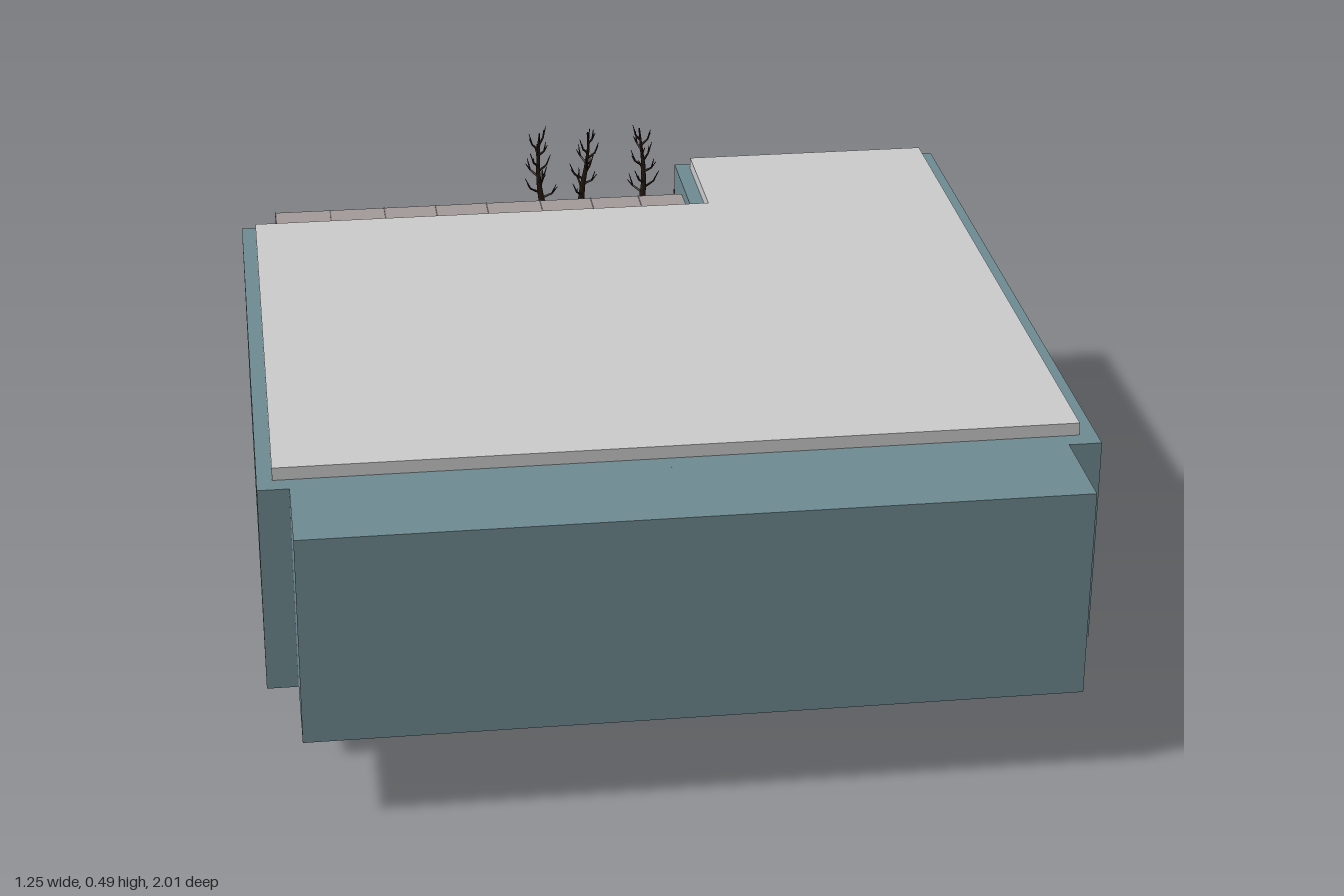
import * as THREE from 'three';

const mat = (color, extra = {}) => new THREE.MeshStandardMaterial({ color, ...extra });
const M = {
  wall: mat(0x6f8a92), roof: mat(0xcccccc), floor: mat(0x3a342a), wood: mat(0x5a3d24),
  canopy: mat(0xa39a9a, { side: THREE.DoubleSide }), rib: mat(0x6a6262), frame: mat(0x8ea4aa),
  road: mat(0x22242a), paint: mat(0xb8b8b8), bark: mat(0x24170f), metal: mat(0x2a2c2e),
  unit: mat(0x2a4a56), books: mat(0x8a6a48), white: mat(0xd8d4cc),
};

function add(parent, name, geo, material, x = 0, y = 0, z = 0) {
  const m = new THREE.Mesh(geo, material);
  m.name = name;
  m.position.set(x, y, z);
  parent.add(m);
  return m;
}

// Box given by its min and max corners
function box(parent, name, material, [x0, y0, z0], [x1, y1, z1]) {
  return add(parent, name, new THREE.BoxGeometry(x1 - x0, y1 - y0, z1 - z0), material,
    (x0 + x1) / 2, (y0 + y1) / 2, (z0 + z1) / 2);
}

// Horizontal slab from a plan outline of [x, z] points
function slab(parent, name, material, pts, y0, y1) {
  const shape = new THREE.Shape(pts.map(([x, z]) => new THREE.Vector2(x, -z)));
  const geo = new THREE.ExtrudeGeometry(shape, { depth: y1 - y0, bevelEnabled: false });
  geo.rotateX(-Math.PI / 2);
  return add(parent, name, geo, material, 0, y0, 0);
}

// Wall from a to b, thickened inward, with windows [u0, u1, y0, y1]
const Y0 = 0.14, Y1 = 0.47, T = 0.04;
function wall(parent, a, b, windows = []) {
  const g = new THREE.Group();
  g.name = 'wall';
  const dx = b[0] - a[0], dz = b[1] - a[1], len = Math.hypot(dx, dz);
  const rect = (C, u0, u1, y0, y1) => new C([[u0, y0], [u1, y0], [u1, y1], [u0, y1]]
    .map(p => new THREE.Vector2(...p)));
  const shape = rect(THREE.Shape, 0, len, Y0, Y1);
  for (const w of windows) {
    shape.holes.push(rect(THREE.Path, ...w));
    const [u0, u1, y0, y1] = w, f = 0.01;
    const surround = rect(THREE.Shape, ...w);
    surround.holes.push(rect(THREE.Path, u0 + f, u1 - f, y0 + f, y1 - f));
    add(g, 'windowFrame', new THREE.ExtrudeGeometry(surround, { depth: 0.012, bevelEnabled: false }),
      M.frame, 0, 0, 0.022);
  }
  add(g, 'wallPanel', new THREE.ExtrudeGeometry(shape, { depth: T, bevelEnabled: false }), M.wall);
  g.position.set(a[0], 0, a[1]);
  g.rotation.y = Math.atan2(-dz, dx);
  parent.add(g);
}

// Open bookcase, width along local x, facing local -z
function bookcase(parent, x, z, width, turn) {
  const g = new THREE.Group();
  g.name = 'bookcase';
  const h = width / 2;
  box(g, 'bookcaseBack', M.wood, [-h, Y0, 0.03], [h, 0.43, 0.04]);
  for (let i = 0; i < 7; i++) {
    const y = Y0 + i * 0.047;
    box(g, 'shelfBoard', M.wood, [-h, y, 0], [h, y + 0.006, 0.03]);
    if (i < 6) box(g, 'bookRow', M.books, [-h + 0.01, y + 0.006, 0.015], [h * (i % 2 ? 0.4 : 0.8), y + 0.034, 0.03]);
  }
  for (let i = 0; i < 4; i++) {
    const u = -h + (i * (width - 0.006)) / 3;
    box(g, 'shelfUpright', M.wood, [u, Y0, 0], [u + 0.006, 0.43, 0.03]);
  }
  g.position.set(x, 0, z);
  g.rotation.y = turn;
  parent.add(g);
}

// Tapered rod between two points
const UP = new THREE.Vector3(0, 1, 0);
function rod(parent, name, material, p, q, r0, r1, sides = 6) {
  const d = q.clone().sub(p);
  const m = add(parent, name, new THREE.CylinderGeometry(r1, r0, d.length(), sides), material);
  m.position.copy(p).addScaledVector(d, 0.5);
  m.quaternion.setFromUnitVectors(UP, d.normalize());
}

// Bare tree with a bent trunk and forked branches
function tree(parent, x, y, z, leanX, leanZ, turn) {
  const g = new THREE.Group();
  g.name = 'tree';
  const H = 0.237;
  const at = t => new THREE.Vector3(leanX * t + 0.004 * Math.sin(t * 7 + turn), H * t, leanZ * t);
  const radius = t => 0.008 * (1 - t) + 0.0015;
  for (let i = 0; i < 6; i++) rod(g, 'trunk', M.bark, at(i / 6), at((i + 1) / 6), radius(i / 6), radius((i + 1) / 6), 7);
  for (let i = 0; i < 11; i++) {
    const t = 0.42 + i * 0.048, a = turn + i * 2.4, reach = 0.032 - 0.015 * (i / 10);
    const p = at(t);
    const elbow = p.clone().add(new THREE.Vector3(Math.cos(a) * reach * 0.7, 0.012, Math.sin(a) * reach * 0.7));
    rod(g, 'branch', M.bark, p, elbow, 0.0028, 0.0018, 5);
    for (const s of [-0.5, 0.4]) {
      const tip = elbow.clone().add(new THREE.Vector3(Math.cos(a + s) * reach * 0.35, 0.018 + s * 0.01, Math.sin(a + s) * reach * 0.35));
      rod(g, 'twig', M.bark, elbow, tip, 0.0017, 0.0006, 4);
    }
  }
  g.position.set(x, y, z);
  parent.add(g);
}

// Street lamp arching toward the road
function lamp(parent, x) {
  const g = new THREE.Group();
  g.name = 'streetLamp';
  const path = new THREE.CatmullRomCurve3([[0.11, 0], [0.18, 0], [0.245, -0.002], [0.28, -0.015], [0.298, -0.038], [0.303, -0.06]]
    .map(([y, z]) => new THREE.Vector3(0, y, z)));
  add(g, 'lampPost', new THREE.TubeGeometry(path, 24, 0.0018, 6), M.metal);
  add(g, 'lampBase', new THREE.CylinderGeometry(0.003, 0.005, 0.02, 8), M.metal, 0, 0.115, 0);
  box(g, 'lampHead', M.metal, [-0.004, 0.297, -0.074], [0.004, 0.304, -0.05]);
  g.position.set(x, 0, -0.58);
  parent.add(g);
}

export function createModel() {
  const model = new THREE.Group();
  model.name = 'building';

  // L-shaped shell with window openings
  const outline = [[-0.625, -0.155], [0.155, -0.155], [0.155, -0.36], [0.625, -0.36], [0.625, 0.84], [-0.625, 0.84]];
  const sideWindows = [[-0.07, 0.08], [0.16, 0.31], [0.38, 0.53], [0.62, 0.77]]
    .map(([z0, z1]) => [0.84 - z1, 0.84 - z0, 0.205, 0.425]);
  const windows = { 2: [[0.155, 0.33, 0.21, 0.435]], 5: sideWindows };
  outline.forEach((a, i) => wall(model, a, outline[(i + 1) % 6], windows[i]));

  // Roof, floor and front block
  slab(model, 'roof', M.roof, [[-0.602, -0.122], [0.18, -0.122], [0.18, -0.338], [0.598, -0.338], [0.598, 0.81], [-0.602, 0.81]], 0.469, 0.49);
  slab(model, 'floor', M.floor, [[-0.59, -0.12], [0.19, -0.12], [0.19, -0.325], [0.59, -0.325], [0.59, 0.81], [-0.59, 0.81]], 0.13, 0.145);
  box(model, 'frontBlock', M.wall, [-0.578, Y0, 0.838], [0.575, Y1, 1]);

  // Panelled canopy over the rear entrance
  const seams = [-0.565, -0.47, -0.375, -0.285, -0.195, -0.1, -0.01, 0.075, 0.154];
  for (let i = 0; i < 8; i++) {
    box(model, 'canopyPanel', M.canopy, [seams[i] + 0.001, 0.45, -0.255], [seams[i + 1] - 0.001, 0.455, -0.155]);
    box(model, 'canopyRib', M.rib, [seams[i] - 0.001, 0.449, -0.255], [seams[i] + 0.001, 0.456, -0.155]);
  }

  // Furniture seen through the windows
  for (const z of [0, 0.235, 0.455, 0.695]) bookcase(model, -0.5, z, 0.17, Math.PI / 2);
  bookcase(model, 0.43, -0.2, 0.2, 0);
  box(model, 'deskTop', M.white, [0.25, 0.235, -0.31], [0.36, 0.243, -0.25]);
  for (const x of [0.255, 0.35]) box(model, 'deskLeg', M.wood, [x, Y0, -0.3], [x + 0.006, 0.235, -0.26]);

  // Small service unit hung under the floor
  box(model, 'serviceUnit', M.unit, [0.195, 0.112, -0.295], [0.25, 0.135, -0.148]);
  for (let i = 0; i < 3; i++) box(model, 'serviceBay', M.unit, [0.2, 0.105, -0.29 + i * 0.049], [0.245, 0.113, -0.25 + i * 0.049]);

  // Road strip with lane markings, sloping slightly
  const road = new THREE.Group();
  road.name = 'road';
  box(road, 'asphalt', M.road, [-0.378, -0.004, -0.097], [0.378, 0.002, 0.097]);
  for (const z of [-0.086, 0.086]) box(road, 'edgeLine', M.paint, [-0.378, 0.002, z - 0.0015], [0.378, 0.003, z + 0.0015]);
  for (let i = 0; i < 4; i++) {
    const x = -0.375 + i * 0.19;
    box(road, 'centreDash', M.paint, [x, 0.002, -0.0015], [x + 0.17, 0.003, 0.0015]);
  }
  box(road, 'crossLine', M.paint, [0, 0.002, 0.045], [0.003, 0.003, 0.09]);
  road.position.set(0.122, 0.131, -0.705);
  road.rotation.z = -0.02;
  model.add(road);

  for (const x of [0.2, 0.295]) lamp(model, x);

  // Bare trees on both sides of the road
  tree(model, -0.02, 0.073, -0.965, -0.012, 0, 0.4);
  tree(model, 0.055, 0.073, -0.985, 0.012, 0.025, 2.1);
  tree(model, 0.18, 0.073, -0.965, -0.004, -0.004, 3.7);
  tree(model, 0.23, 0.005, -0.55, -0.008, 0.005, 1.2);
  tree(model, 0.335, 0.005, -0.55, -0.006, 0.004, 5.0);
  return model;
}
